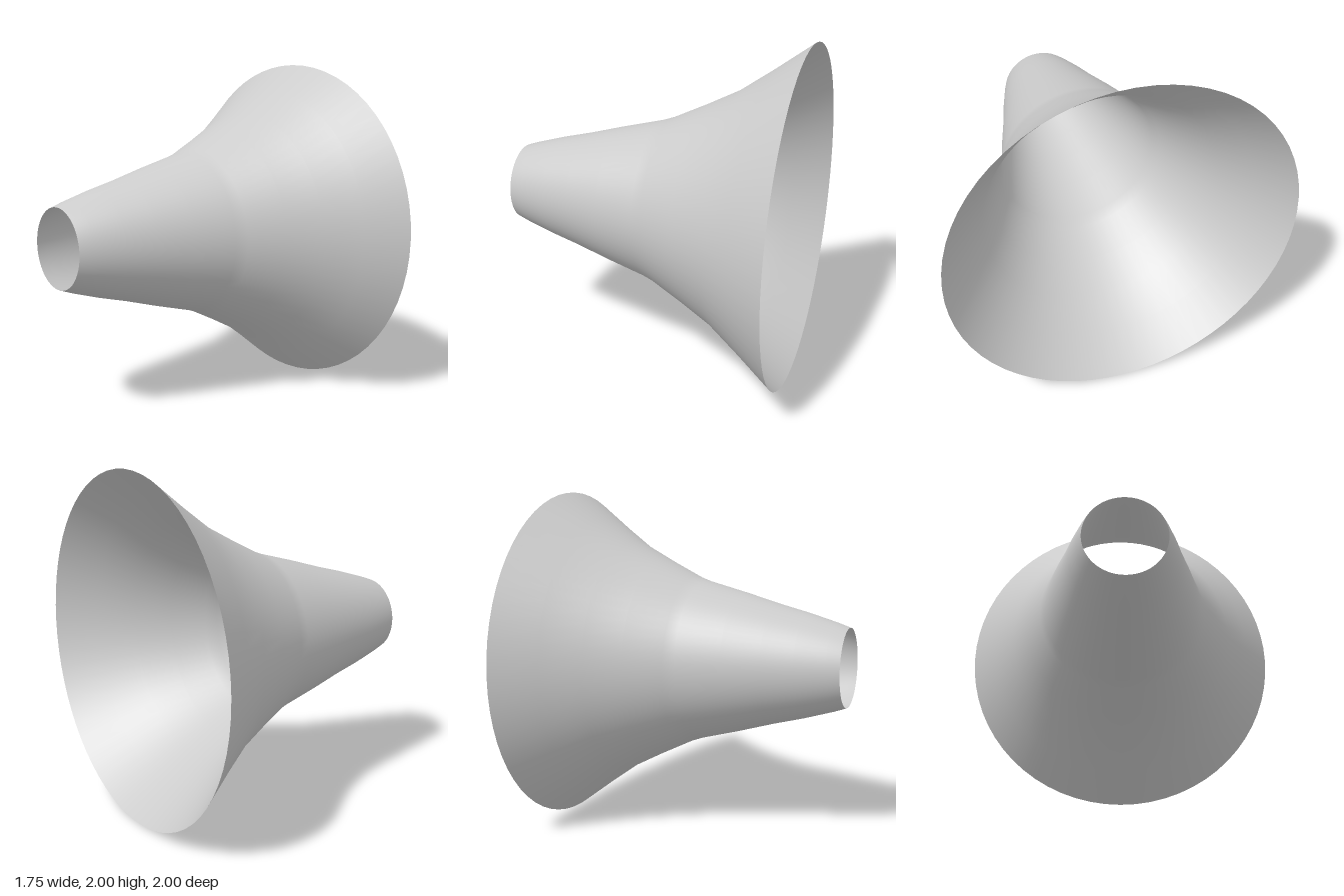
import * as THREE from 'three';

export function createModel() {
  const group = new THREE.Group();
  group.name = 'horn';

  // Flared profile: [position along the axis, radius], narrow end to wide mouth
  const profile = [
    [-0.875, 0.23], [-0.8, 0.256], [-0.63, 0.306], [-0.45, 0.352], [-0.24, 0.412],
    [0, 0.475], [0.07, 0.5], [0.27, 0.598], [0.465, 0.7], [0.66, 0.839], [0.875, 1],
  ].map(([along, radius]) => new THREE.Vector2(radius, along));

  // Thin open shell, turned so the mouth faces +x
  const geometry = new THREE.LatheGeometry(profile, 64);
  geometry.rotateZ(-Math.PI / 2);
  geometry.translate(0, 1, 0);

  const material = new THREE.MeshStandardMaterial({ color: 0xcccccc, side: THREE.DoubleSide });
  const bell = new THREE.Mesh(geometry, material);
  bell.name = 'flaredBell';
  group.add(bell);
  return group;
}
